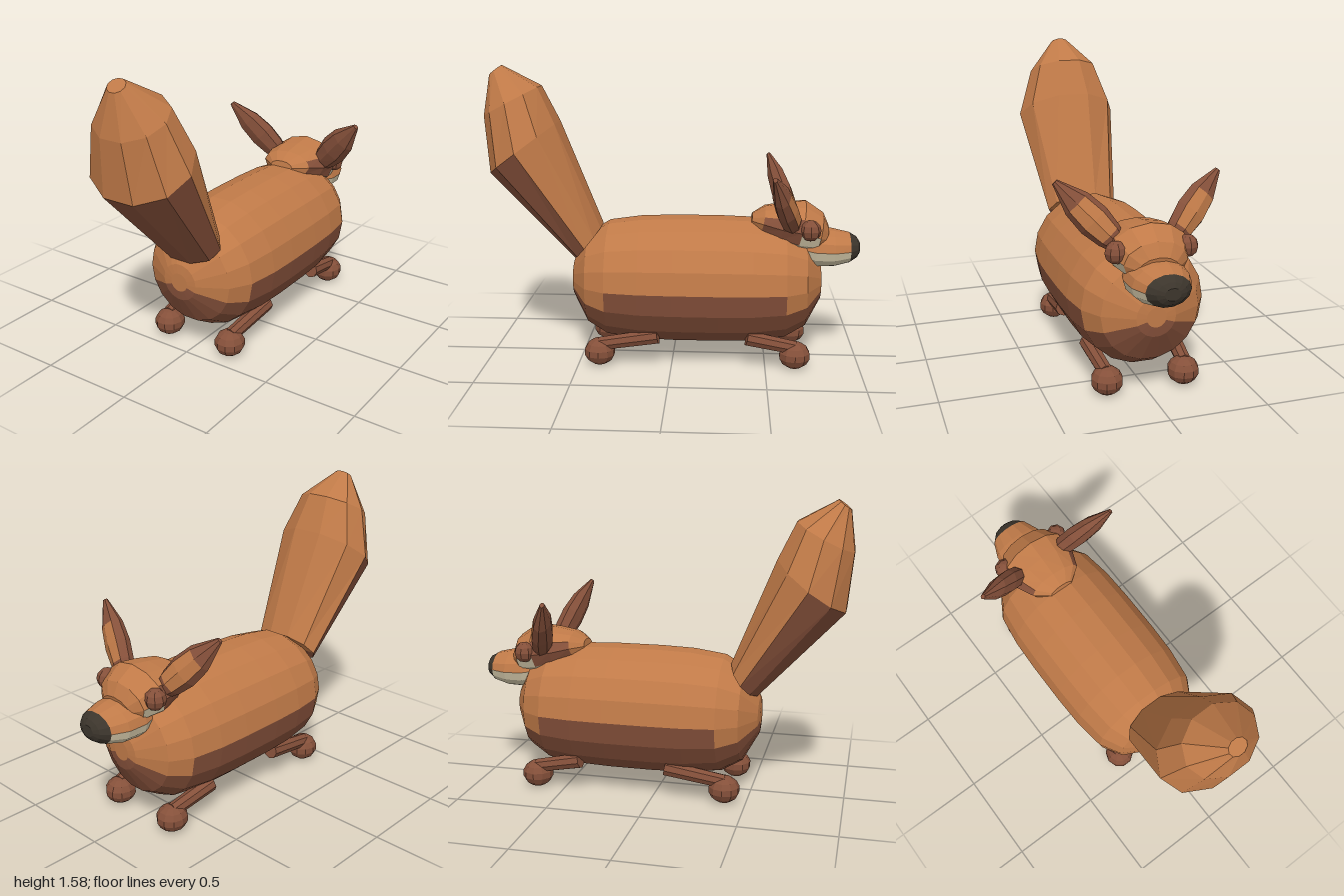
import * as THREE from 'three';

const mat = (name, color) => {
  const m = new THREE.MeshStandardMaterial({ color, flatShading: true });
  m.name = name;
  return m;
};
const V = (x, y, z) => new THREE.Vector3(x, y, z);

// Closed ring of n points around centre c, spanned by half-axes u and v
function ring(c, u, v, n) {
  return Array.from({ length: n }, (_, j) => {
    const a = (j / n) * Math.PI * 2;
    return c.clone().addScaledVector(u, Math.cos(a)).addScaledVector(v, Math.sin(a));
  });
}

// Capped skin over rings; pick(i, s, j) gives the material index for band i and
// s, the sine of the angle at the middle of face j (caps use i = -1)
function loft(name, rings, materials, pick = () => 0) {
  const n = rings[0].length, last = rings.length - 1;
  const buckets = materials.map(() => []);
  const mid = (r) => r.reduce((s, p) => s.add(p), V(0, 0, 0)).divideScalar(n);
  const m0 = mid(rings[0]), m1 = mid(rings[last]);
  for (let j = 0; j < n; j++) {
    const k = (j + 1) % n, s = Math.sin(((j + 0.5) / n) * Math.PI * 2);
    for (let i = 0; i < last; i++) {
      const a = rings[i][j], b = rings[i][k], c = rings[i + 1][k], d = rings[i + 1][j];
      buckets[pick(i, s, j)].push([a, b, c], [a, c, d]);
    }
    buckets[pick(-1, s, j)].push([m0, rings[0][k], rings[0][j]]);
    buckets[pick(last, s, j)].push([m1, rings[last][j], rings[last][k]]);
  }
  // Turn every face outward
  let volume = 0;
  buckets.flat().forEach(([a, b, c]) => {
    volume += a.clone().sub(m0).dot(b.clone().sub(m0).cross(c.clone().sub(m0)));
  });
  const points = [], geo = new THREE.BufferGeometry();
  buckets.forEach((tris, m) => {
    geo.addGroup(points.length, tris.length * 3, m);
    tris.forEach(([a, b, c]) => points.push(...(volume > 0 ? [a, b, c] : [a, c, b])));
  });
  geo.setFromPoints(points);
  geo.computeVertexNormals();
  const mesh = new THREE.Mesh(geo, materials);
  mesh.name = name;
  return mesh;
}

export function createModel() {
  const model = new THREE.Group();
  model.name = 'longBodiedFox';
  const orange = mat('orangeFur', 0xc07a48);
  const brown = mat('brownFur', 0x85503a);
  const cream = mat('creamFur', 0xd6caab);
  const black = mat('noseBlack', 0x3c352c);

  // Barrel body, symmetric along its length, with a brown belly
  const half = [[0.674, 0.05], [0.668, 0.1], [0.585, 0.25], [0.475, 0.315], [0.3, 0.339], [0.12, 0.345]];
  const profile = [...half, ...half.map(([o, r]) => [-o, r]).reverse()];
  const bodyRings = profile.map(([o, r]) =>
    ring(V(0, 0.432, o - 0.127), V(r, 0, 0), V(0, r, 0), 18));
  model.add(loft('body', bodyRings, [orange, brown], (i, s) => {
    if (i < 1 && i === -1 || i === 11) return 0;
    return s < -0.3 || (s < 0 && i >= 3 && i <= 7) ? 1 : 0;
  }));

  // Tail: centre y, z, half width, then half depth as a y, z vector
  const tailRings = [
    [0.635, 0.46, 0.2, 0.089, -0.074],
    [1.15, 0.795, 0.285, 0.137, -0.184],
    [1.395, 0.855, 0.2, 0.079, -0.152],
    [1.555, 0.942, 0.05, 0.026, -0.034],
  ].map(([y, z, w, dy, dz]) => ring(V(0, y, z), V(w, 0, 0), V(0, dy, dz), 10));
  model.add(loft('tail', tailRings, [orange, brown], (i, s) => (i < 1 && s < 0 ? 1 : 0)));

  // Head with brown mask and cream cheeks, tilted slightly downwards
  const headRings = [
    [0.77, -0.42, 0.07, 0.03],
    [0.77, -0.48, 0.15, 0.07],
    [0.75, -0.58, 0.19, 0.11],
    [0.735, -0.68, 0.2, 0.14],
    [0.7, -0.78, 0.16, 0.11],
    [0.68, -0.82, 0.1, 0.06],
  ].map(([y, z, w, h]) => ring(V(0, y, z), V(w, 0, 0), V(0, h * 0.98, -h * 0.2), 12));
  model.add(loft('head', headRings, [orange, brown, cream], (i, s) => {
    if ((i === 2 && s < -0.4) || (i === 3 && s < 0)) return 2;
    return (i === 1 || i === 2) && s < 0.4 ? 1 : 0;
  }));

  // Snout with cream jaw and black nose
  const snoutRings = [
    [0.63, -0.7, 0.14, 0.09],
    [0.622, -0.76, 0.156, 0.108],
    [0.617, -0.86, 0.148, 0.1],
    [0.618, -0.945, 0.113, 0.08],
    [0.62, -0.985, 0.075, 0.055],
    [0.62, -1, 0.04, 0.03],
  ].map(([y, z, w, h]) => ring(V(0, y, z), V(w, 0, 0), V(0, h, 0), 14));
  model.add(loft('snout', snoutRings, [orange, cream, black], (i, s) => (i >= 3 ? 2 : s < 0 ? 1 : 0)));

  for (const s of [1, -1]) {
    const side = s > 0 ? 'left' : 'right';

    // Ears lean outwards, with an orange patch low on the front
    const base = V(0.14 * s, 0.76, -0.635), tip = V(0.415 * s, 1.055, -0.522);
    const axis = tip.clone().sub(base).normalize();
    const wide = V(0.73 * s, -0.68, 0);
    const front = axis.clone().cross(wide).normalize();
    if (front.z > 0) front.negate();
    const earRings = [[0, 0.05, 0.04], [0.14, 0.07, 0.055], [0.38, 0.085, 0.058], [0.65, 0.074, 0.048], [1, 0.016, 0.012]]
      .map(([t, w, d]) => ring(base.clone().lerp(tip, t), wide.clone().multiplyScalar(w),
        front.clone().multiplyScalar(d), 8));
    model.add(loft(side + 'Ear', earRings, [brown, orange],
      (i, a) => ((i === 1 || i === 2) && a > 0.6 ? 1 : 0)));

    // Eye
    const eye = new THREE.Mesh(new THREE.SphereGeometry(0.056, 8, 6), brown);
    eye.name = side + 'Eye';
    eye.position.set(0.178 * s, 0.748, -0.722);
    model.add(eye);

    // Short splayed legs ending in round feet
    for (const [place, zFoot, zTop] of [['back', 0.385, 0.07], ['front', -0.655, -0.4]]) {
      const foot = new THREE.Mesh(new THREE.SphereGeometry(0.081, 10, 7), brown);
      foot.name = side + place + 'Foot';
      foot.scale.set(1, 0.9, 1.04);
      foot.position.set(0.2 * s, 0.073, zFoot);
      model.add(foot);

      const a = V(0.205 * s, 0.115, zFoot), b = V(0.225 * s, 0.172, zTop);
      const leg = new THREE.Mesh(new THREE.CylinderGeometry(0.042, 0.038, a.distanceTo(b), 8), brown);
      leg.name = side + place + 'Leg';
      leg.position.copy(a).lerp(b, 0.5);
      leg.quaternion.setFromUnitVectors(V(0, 1, 0), b.clone().sub(a).normalize());
      model.add(leg);
    }
  }
  return model;
}
